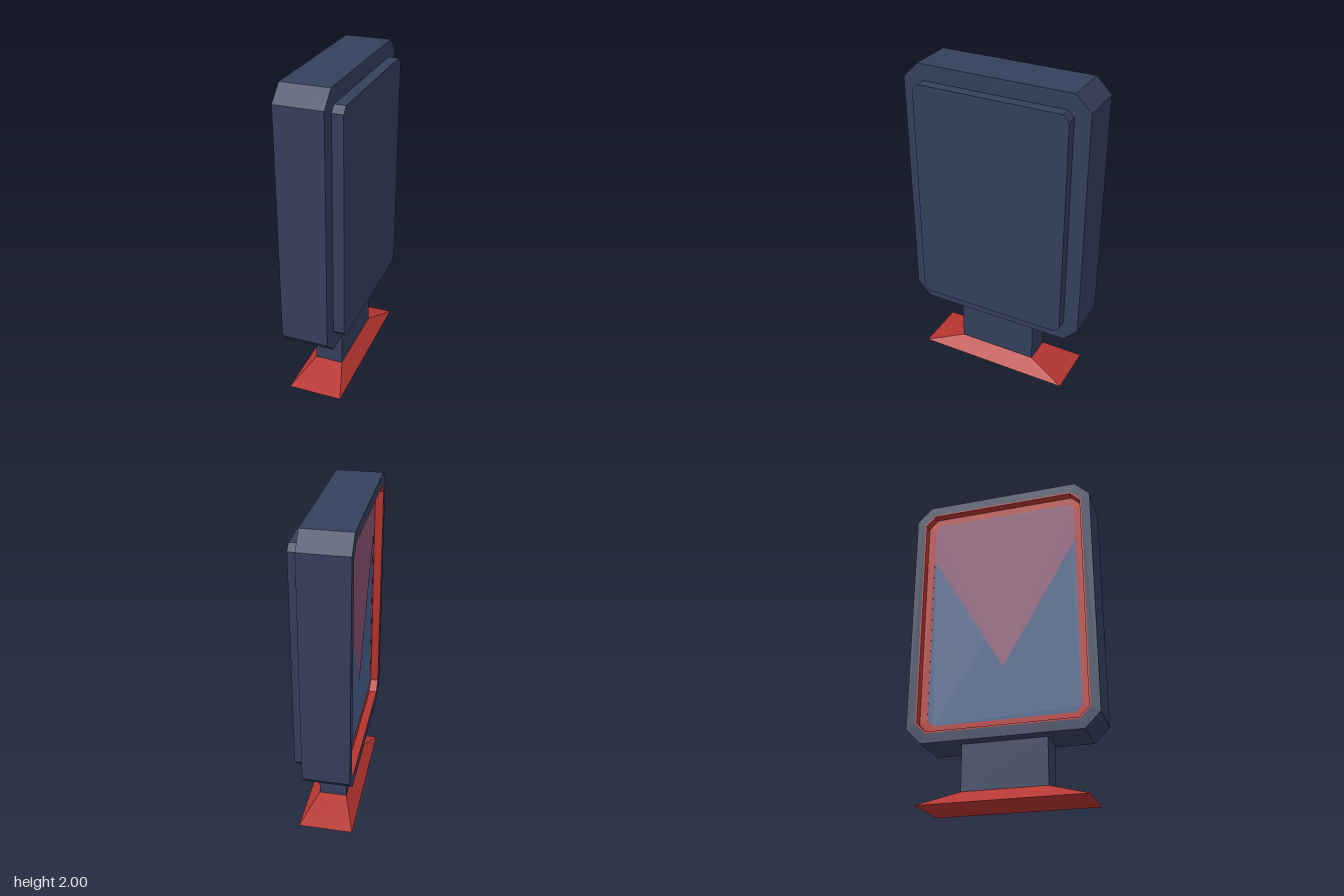
import * as THREE from 'three';

const CY = 1.18; // height of the display centre

const paint = (color) => new THREE.MeshStandardMaterial({ color, flatShading: true });

// Corner points of a rectangle with cut corners, in the z/y plane
function cutRect(halfW, halfH, cut) {
  const w = halfW - cut, h = halfH - cut;
  return [[halfW, -h], [halfW, h], [w, halfH], [-w, halfH], [-halfW, h], [-halfW, -h], [-w, -halfH], [w, -halfH]]
    .map(([x, y]) => new THREE.Vector2(x, y));
}

// Slab or ring running along x from x0 to x1
function slab(x0, x1, outer, inner) {
  const shape = new THREE.Shape(cutRect(...outer));
  if (inner) shape.holes.push(new THREE.Path(cutRect(...inner)));
  return new THREE.ExtrudeGeometry(shape, { depth: x1 - x0, bevelEnabled: false })
    .rotateY(Math.PI / 2).translate(x0, CY, 0);
}

// Flat face looking towards -x
const face = (points, x) =>
  new THREE.ShapeGeometry(new THREE.Shape(points)).rotateY(-Math.PI / 2).translate(x, CY, 0);

export function createModel() {
  const group = new THREE.Group();
  const navy = paint(0x343f5c), red = paint(0xb5342f);
  const blue = paint(0x44608a), plum = paint(0x8a5272);
  const add = (name, geometry, material) => {
    const mesh = new THREE.Mesh(geometry, material);
    mesh.name = name;
    group.add(mesh);
  };

  // Housing: solid core with a raised rim around the display
  const body = [0.58, 0.82, 0.093], opening = [0.525, 0.76, 0.065];
  const liner = [0.515, 0.75, 0.06], window_ = [0.468, 0.703, 0.04];
  add('housing', slab(-0.12, 0.11, body), navy);
  add('housingRim', slab(-0.18, -0.12, body, opening), navy);
  add('rearPanel', slab(0.11, 0.177, [0.484, 0.722, 0.037]), navy);

  // Red recess: side walls and the lip around the screen
  add('recessWall', slab(-0.18, -0.12, opening, liner), red);
  add('recessLip', slab(-0.13, -0.12, liner, window_), red);

  // Screen with a V-shaped coloured area in its upper part
  const [w, h, c] = window_;
  add('screen', face(cutRect(w, h, c), -0.129), blue);
  const vee = [[0, -0.37], [w, 0.44], [w, h - c], [w - c, h], [c - w, h], [-w, h - c], [-w, 0.44]]
    .map(([x, y]) => new THREE.Vector2(x, y));
  add('screenVee', face(vee, -0.131), plum);

  // Neck
  add('neck', new THREE.BoxGeometry(0.176, 0.29, 0.516).translate(-0.012, 0.22, 0), navy);

  // Foot: box whose lower corners spread outwards
  const foot = new THREE.BoxGeometry(0.176, 0.08, 0.516);
  const p = foot.attributes.position;
  for (let i = 0; i < p.count; i++) {
    if (p.getY(i) < 0) p.setXYZ(i, Math.sign(p.getX(i)) * 0.17, p.getY(i), Math.sign(p.getZ(i)) * 0.503);
  }
  foot.computeVertexNormals();
  add('foot', foot.translate(-0.012, 0.04, 0), red);

  return group;
}
